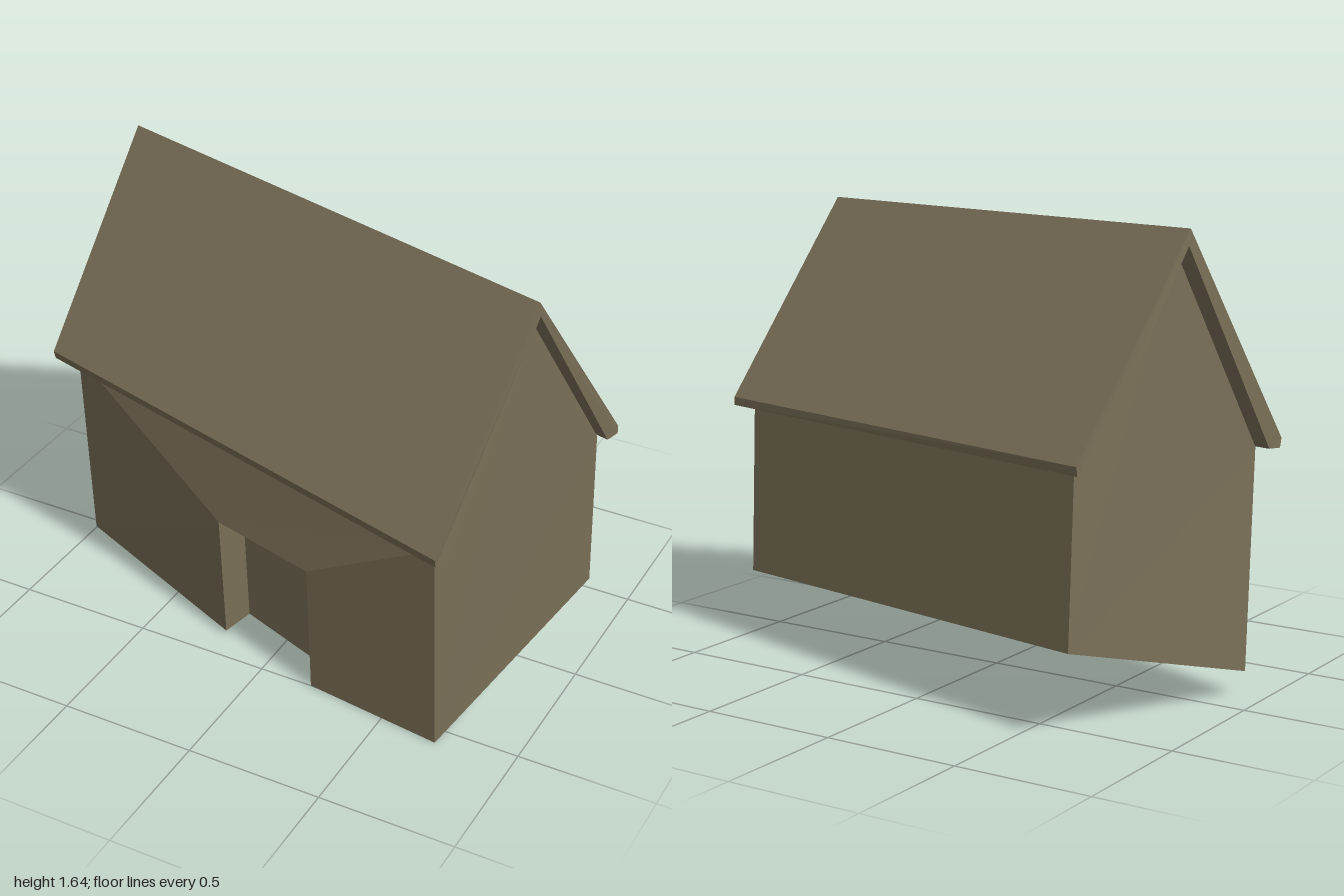
import * as THREE from 'three';

// Flat faces, each a fan of corners listed counter-clockwise from outside
function facesMesh(name, faces, material) {
  const pos = [];
  for (const f of faces)
    for (let i = 1; i < f.length - 1; i++) pos.push(...f[0], ...f[i], ...f[i + 1]);
  const geo = new THREE.BufferGeometry();
  geo.setAttribute('position', new THREE.Float32BufferAttribute(pos, 3));
  geo.computeVertexNormals();
  const mesh = new THREE.Mesh(geo, material);
  mesh.name = name;
  return mesh;
}

export function createModel() {
  const house = new THREE.Group();
  house.name = 'crookedHouse';
  const wood = new THREE.MeshStandardMaterial({ color: 0x7a7058, side: THREE.DoubleSide });
  wood.name = 'weatheredWood';
  const add = (name, faces) => house.add(facesMesh(name, faces, wood));

  // Wall corners: [foot, top], around the open-bottomed shell
  const frontL = [[0.72, 0, 0.57], [0.72, 0.84, 0.62]];
  const backL = [[0.945, 0.26, -0.22], [0.945, 0.885, -0.19]];
  const backR = [[-0.7, 0.31, -0.65], [-0.7, 0.905, -0.62]];
  const frontR = [[-0.93, 0.09, 0.14], [-0.93, 0.87, 0.18]];
  const apexL = [0.845, 1.55, 0.24], apexR = [-0.825, 1.57, -0.21];

  // Doorway: outer jamb edges and the recessed panel edges
  const jambR = [[-0.21, 0.02, 0.39], [-0.21, 0.52, 0.42]];
  const jambL = [[0.2, 0, 0.5], [0.2, 0.52, 0.53]];
  const panelR = [[-0.175, 0.035, 0.28], [-0.175, 0.52, 0.31]];
  const panelL = [[0.23, 0.005, 0.4], [0.23, 0.52, 0.43]];

  const wall = (a, b) => [a[0], b[0], b[1], a[1]];
  add('frontWall', [
    wall(frontR, jambR),
    wall(jambL, frontL),
    [jambR[1], jambL[1], frontL[1], frontR[1]],
  ]);
  add('doorFrame', [
    wall(jambR, panelR),
    wall(panelL, jambL),
    [panelR[1], panelL[1], jambL[1], jambR[1]],
  ]);
  add('door', [wall(panelR, panelL)]);
  add('backWall', [wall(backL, backR)]);
  add('leftGable', [[frontL[0], backL[0], backL[1], apexL, frontL[1]]]);
  add('rightGable', [[backR[0], frontR[0], frontR[1], apexR, backR[1]]]);

  // Roof end sections: front eave, ridge, back eave, then back along the underside
  const endL = [
    [0.76, 0.865, 0.7], [0.89, 1.62, 0.26], [1, 0.915, -0.24], [1, 0.885, -0.24],
    [0.985, 0.885, -0.185], [0.89, 1.565, 0.25], [0.775, 0.835, 0.635], [0.757, 0.832, 0.69],
  ];
  const endR = [
    [-1, 0.9, 0.235], [-0.88, 1.64, -0.21], [-0.76, 0.935, -0.705], [-0.76, 0.903, -0.7],
    [-0.775, 0.905, -0.645], [-0.88, 1.585, -0.22], [-0.985, 0.87, 0.175], [-1, 0.867, 0.225],
  ];
  const roof = endL.map((p, i) => {
    const j = (i + 1) % endL.length;
    return [endR[i], p, endL[j], endR[j]];
  });
  // Each end cap is one piece per slope
  for (const half of [[5, 1, 0, 7, 6], [5, 4, 3, 2, 1]]) {
    roof.push(half.map((i) => endL[i]));
    roof.push([...half].reverse().map((i) => endR[i]));
  }
  add('roof', roof);

  return house;
}
